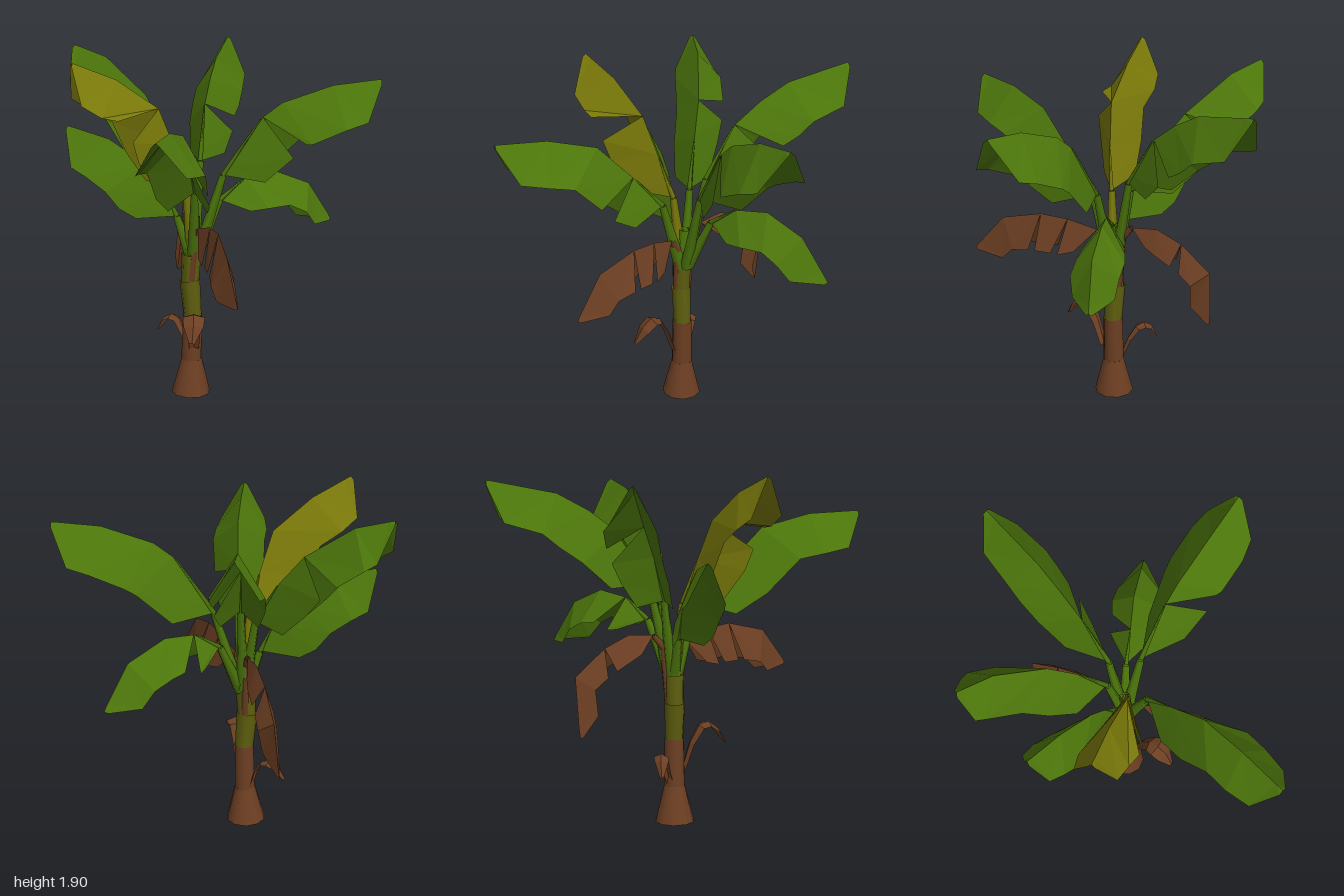
import * as THREE from 'three';

const V = (p) => new THREE.Vector3(...p);
const UP = new THREE.Vector3(0, 1, 0);

function makeMaterial(name, color) {
  const m = new THREE.MeshStandardMaterial({ color, side: THREE.DoubleSide });
  m.name = name;
  return m;
}

// Tapered open tube between two points
function tapered(name, a, b, ra, rb, sides, material) {
  const from = V(a), dir = V(b).sub(from), len = dir.length();
  const mesh = new THREE.Mesh(new THREE.CylinderGeometry(rb, ra, len, sides, 1, true), material);
  mesh.name = name;
  mesh.position.copy(from).addScaledVector(dir, 0.5);
  mesh.quaternion.setFromUnitVectors(UP, dir.normalize());
  return mesh;
}

// Stations along a blade: position on the rib, relative width, relative drop, forward sweep
const BLADE = [
  [0, 0, 0, 0], [0.04, 0.75, 0.92, 0.05], [0.27, 0.98, 1.16, 0.03], [0.47, 1.05, 1.14, 0.05],
  [0.74, 1.05, 1.02, 0.02], [0.96, 0.9, 0.92, -0.05], [1, 0.15, 0.1, 0],
];
const STRIP = [[0, 0.45, 0.45, 0], [0.2, 0.6, 0.6, 0], [0.4, 0.8, 0.8, 0], [0.6, 1, 1, 0], [0.8, 0.9, 0.9, 0], [1, 0.25, 0.25, 0]];

// Folded blade: a raised rib with two halves hanging from it, slit at the torn stations
function blade(name, rib, { width, drop, torn = [[], []], rip = 0.05, stations = BLADE }, material) {
  const points = rib.map(V);
  const curve = new THREE.CatmullRomCurve3(points);
  const S = points[points.length - 1].clone().sub(points[0]).cross(UP).normalize();
  const pos = [];
  const edge = (i, side, shift) => {
    const [t, wide, deep, sweep] = stations[i];
    const T = curve.getTangent(t);
    const N = new THREE.Vector3().crossVectors(S, T).normalize();
    return curve.getPoint(t)
      .addScaledVector(S, side * width * wide)
      .addScaledVector(N, -drop * deep)
      .addScaledVector(T, sweep + shift);
  };
  for (const side of [-1, 1]) {
    const tears = torn[side < 0 ? 0 : 1];
    for (let i = 0; i < stations.length - 1; i++) {
      const r0 = curve.getPoint(stations[i][0]), r1 = curve.getPoint(stations[i + 1][0]);
      const e0 = edge(i, side, tears.includes(i) ? rip : 0);
      const e1 = edge(i + 1, side, tears.includes(i + 1) ? -rip : 0);
      const quad = side > 0 ? [r0, e0, e1, r0, e1, r1] : [r0, e1, e0, r0, r1, e1];
      for (const p of quad) pos.push(p.x, p.y, p.z);
    }
  }
  const g = new THREE.BufferGeometry();
  g.setAttribute('position', new THREE.Float32BufferAttribute(pos, 3));
  g.computeVertexNormals();
  const mesh = new THREE.Mesh(g, material);
  mesh.name = name;
  return mesh;
}

export function createModel() {
  const model = new THREE.Group();
  model.name = 'bananaPlant';
  const green = makeMaterial('leafGreen', 0x4d770b);
  const yellow = makeMaterial('leafYellow', 0x7b7a0a);
  const brown = makeMaterial('dryBrown', 0x6d3f23);
  const olive = makeMaterial('stemOlive', 0x5f600f);

  // Trunk, flared at the foot and sheathed in rings of colour
  const trunk = new THREE.Group();
  trunk.name = 'trunk';
  trunk.add(
    tapered('trunkFoot', [-0.148, 0, -0.03], [-0.142, 0.2, -0.03], 0.108, 0.058, 10, brown),
    tapered('trunkLower', [-0.142, 0.2, -0.03], [-0.135, 0.46, -0.03], 0.058, 0.054, 10, brown),
    tapered('trunkMiddle', [-0.135, 0.44, -0.03], [-0.15, 0.66, -0.03], 0.05, 0.057, 8, olive),
    tapered('trunkUpper', [-0.15, 0.62, -0.03], [-0.14, 0.81, -0.03], 0.048, 0.054, 8, olive),
    tapered('trunkCrown', [-0.14, 0.76, -0.03], [-0.125, 1.02, -0.04], 0.046, 0.03, 7, green),
  );
  model.add(trunk);

  // Living leaves: rib points from blade base to tip
  const leaves = [
    ['backLeaf', green, { width: 0.13, drop: 0.21, torn: [[], [2]] },
      [[-0.11, 1.3, -0.16], [-0.11, 1.57, -0.32], [-0.1, 1.71, -0.5], [-0.09, 1.79, -0.65], [-0.07, 1.86, -1]]],
    ['frontLeaf', green, { width: 0.14, drop: 0.2, torn: [[2], []] },
      [[-0.1, 1.19, 0.1], [-0.1, 1.36, 0.25], [-0.1, 1.6, 0.5], [-0.12, 1.65, 0.74], [-0.14, 1.66, 1]]],
    ['leftLeaf', green, { width: 0.155, drop: 0.215, torn: [[], [2]] },
      [[0.03, 1.25, -0.06], [0.23, 1.56, -0.08], [0.36, 1.66, -0.09], [0.62, 1.75, -0.11], [0.86, 1.78, -0.14]]],
    ['leftBackLeaf', green, { width: 0.12, drop: 0.15, torn: [[2], []] },
      [[0.0, 1.09, -0.14], [0.12, 1.19, -0.22], [0.3, 1.215, -0.35], [0.47, 1.12, -0.45], [0.585, 0.9, -0.54]]],
    ['rightBackLeaf', green, { width: 0.125, drop: 0.195, torn: [[], [3]], rip: 0.06 },
      [[-0.19, 1.22, -0.1], [-0.3, 1.45, -0.18], [-0.45, 1.66, -0.28], [-0.68, 1.83, -0.38], [-0.86, 1.88, -0.43]]],
    ['yellowLeaf', yellow, { width: 0.12, drop: 0.2, torn: [[3], []], rip: 0.07 },
      [[-0.16, 1.2, 0.01], [-0.21, 1.42, 0.07], [-0.3, 1.67, 0.14], [-0.5, 1.81, 0.21], [-0.7, 1.9, 0.29]]],
    ['rightLeaf', green, { width: 0.11, drop: 0.21 },
      [[-0.22, 1.02, -0.03], [-0.28, 1.16, -0.03], [-0.4, 1.32, -0.03], [-0.6, 1.44, -0.04], [-0.82, 1.5, -0.05]]],
  ];
  for (const [name, material, shape, rib] of leaves) {
    const leaf = new THREE.Group();
    leaf.name = name;
    const [x, , z] = rib[0];
    const foot = [-0.13 + (x + 0.13) * 0.15, 0.8, -0.035 + (z + 0.035) * 0.15];
    leaf.add(
      tapered(name + 'Stalk', foot, rib[0], 0.036, 0.02, 5, material),
      tapered(name + 'Rib', rib[0], rib[1], 0.015, 0.004, 4, material),
      blade(name + 'Blade', rib, shape, material),
    );
    model.add(leaf);
  }

  // Withered leaves drooping front and back
  const dry = [
    ['dryFrontLeaf', { width: 0.06, drop: 0.175, torn: [[2, 3], [2, 3]], rip: 0.02 },
      [[-0.09, 0.98, 0.05], [-0.01, 1.025, 0.18], [0.07, 1.035, 0.36], [0.14, 0.97, 0.57], [0.21, 0.77, 0.72]]],
    ['dryBackLeaf', { width: 0.05, drop: 0.11, torn: [[3], [3]], rip: 0.03 },
      [[-0.15, 1.03, -0.15], [-0.19, 1.05, -0.28], [-0.24, 0.98, -0.45], [-0.28, 0.85, -0.6], [-0.31, 0.54, -0.58]]],
  ];
  for (const [name, shape, rib] of dry) {
    const [x, y, z] = rib[0];
    const bend = [(x - 0.13) / 2, y - 0.07, (z - 0.03) / 2];
    model.add(
      tapered(name + 'Sheath', [-0.14, 0.66, -0.03 + Math.sign(z) * 0.032], bend, 0.022, 0.02, 5, brown),
      tapered(name + 'Stalk', bend, rib[0], 0.022, 0.015, 5, brown),
      blade(name + 'Blade', rib, shape, brown),
    );
  }

  // Small curled husks peeling off the trunk
  model.add(
    blade('frontHusk', [[-0.12, 0.28, 0.02], [-0.11, 0.45, 0.08], [-0.1, 0.535, 0.15], [-0.09, 0.5, 0.22], [-0.09, 0.4, 0.28]],
      { width: 0.06, drop: 0.02, stations: STRIP }, brown),
    blade('backHusk', [[-0.17, 0.22, -0.06], [-0.2, 0.35, -0.1], [-0.25, 0.415, -0.13], [-0.31, 0.4, -0.15], [-0.36, 0.31, -0.16]],
      { width: 0.04, drop: 0.02, stations: STRIP }, brown),
  );
  return model;
}
